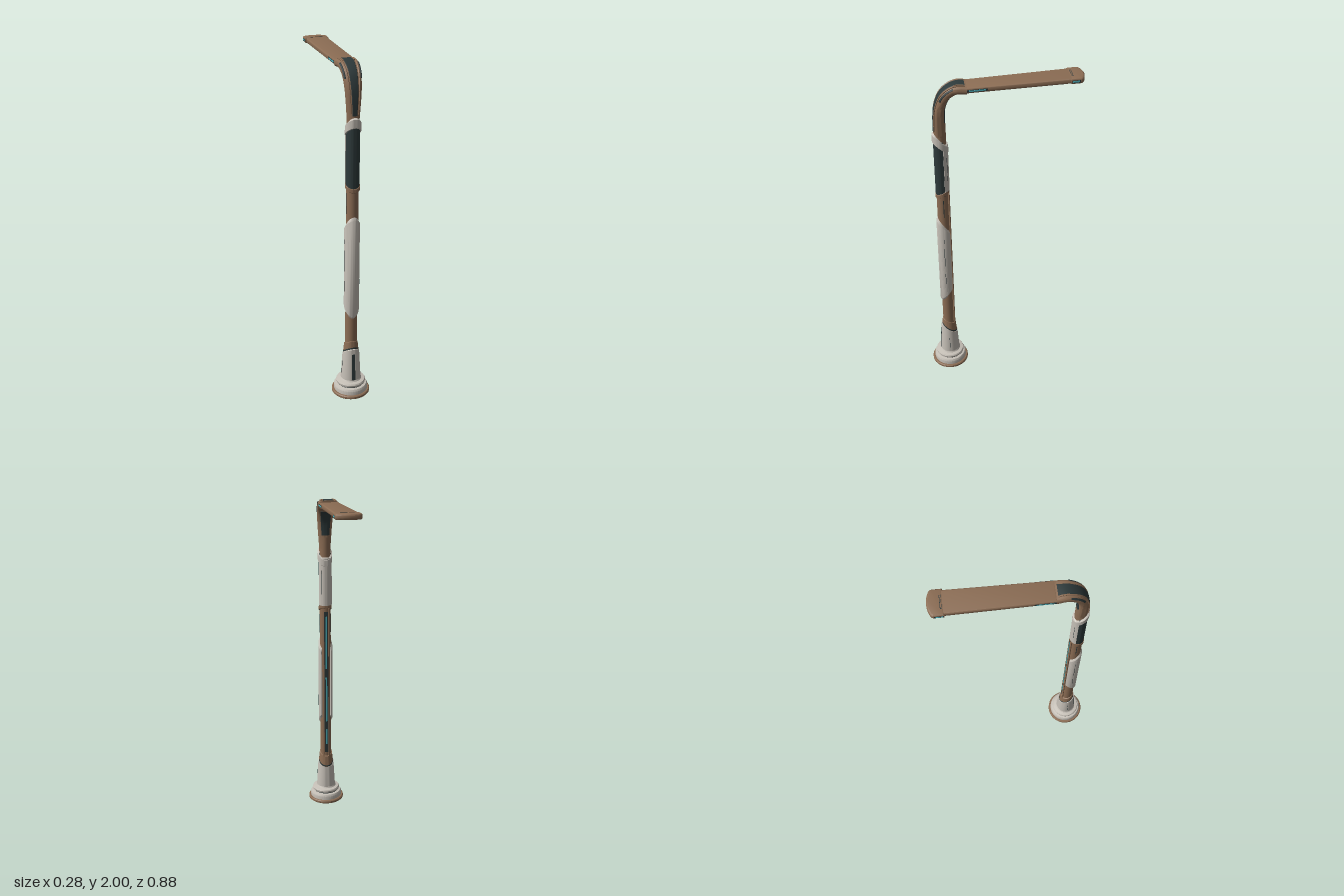
import * as THREE from 'three';
import { toCreasedNormals, mergeVertices } from 'three/addons/utils/BufferGeometryUtils.js';

const mat = (name, color) => {
  const m = new THREE.MeshStandardMaterial({ color, side: THREE.DoubleSide });
  m.name = name;
  return m;
};

// Grid surface from a rule f(i, j) -> [x, y, z]
function surface(nu, nv, f, crease = 0.6) {
  const pos = [], idx = [];
  for (let i = 0; i <= nu; i++) for (let j = 0; j <= nv; j++) pos.push(...f(i, j));
  for (let i = 0; i < nu; i++) for (let j = 0; j < nv; j++) {
    const a = i * (nv + 1) + j, b = a + nv + 1;
    idx.push(a, b, b + 1, a, b + 1, a + 1);
  }
  const g = new THREE.BufferGeometry();
  g.setAttribute('position', new THREE.Float32BufferAttribute(pos, 3));
  g.setIndex(idx);
  return toCreasedNormals(mergeVertices(g, 1e-6), crease);
}

// Curved plate round the pole; angle 0 is the front. y0, y1 and r may be functions.
const val = (v, k) => (typeof v === 'function' ? v(k) : v);
function shell(r, y0, y1, a0 = -Math.PI, a1 = Math.PI, t = 0.01, bevel = 0) {
  const n = Math.max(2, Math.ceil((a1 - a0) * 6));
  return surface(n + 2, 3, (i, j) => {
    const a = a0 + (a1 - a0) * Math.min(Math.max(i - 1, 0), n) / n;
    const lo = val(y0, a), hi = val(y1, a);
    const y = [lo, lo + bevel, hi - bevel, hi][j];
    const inner = j === 0 || j === 3 || i === 0 || i === n + 2;
    const rr = val(r, y) - (inner ? t : 0);
    return [rr * Math.sin(a), y, rr * Math.cos(a)];
  });
}

// Bend: a round section that widens and flattens along a curve
const bendCurve = new THREE.CatmullRomCurve3([[0, 1.68], [0, 1.8], [0.008, 1.86], [0.035, 1.92], [0.09, 1.957], [0.15, 1.958]]
  .map(([d, y]) => new THREE.Vector3(0, y, -d)));
const power = (v, e) => Math.sign(v) * Math.abs(v) ** e;
function bendPlate(t0, t1, a0, a1, offset) {
  const nu = Math.max(4, Math.ceil((a1 - a0) * 6)), nv = 24;
  return surface(nu, nv + 2, (i, j) => {
    const t = t0 + (t1 - t0) * Math.min(Math.max(j - 1, 0), nv) / nv;
    const p = bendCurve.getPointAt(t), d = bendCurve.getTangentAt(t);
    const a = a0 + (a1 - a0) * i / nu, e = 1 - 0.4 * t;
    const end = j === 0 || j === nv + 2;
    const full = a1 - a0 > 6;
    const o = end || (!full && (i === 0 || i === nu)) ? -0.003 : offset;
    const k = end && full ? 0 : 1;
    const x = k * (0.034 + 0.026 * t + o) * power(Math.sin(a), e);
    const h = k * (0.034 - 0.01 * t + o) * power(Math.cos(a), e);
    return [x, p.y - d.z * h, p.z + d.y * h];
  }, 0.7);
}

// Horizontal plate extruded upwards; outline in [x, distance along the arm]
function plate(shape, y, depth, bevel) {
  const g = new THREE.ExtrudeGeometry(shape, {
    depth: depth - 2 * bevel, bevelEnabled: bevel > 0, bevelSize: bevel,
    bevelThickness: bevel, bevelOffset: -bevel, bevelSegments: 3, curveSegments: 10,
  });
  return toCreasedNormals(g.rotateX(-Math.PI / 2).translate(0, y + bevel, 0), 0.6);
}
const quad = (w0, d0, w1, d1) => new THREE.Shape(
  [[-w0, d0], [w0, d0], [w1, d1], [-w1, d1]].map(([x, y]) => new THREE.Vector2(x, y)));

export function createModel() {
  const brown = mat('brown paint', 0x8c6d54);
  const white = mat('off-white panel', 0xc6c0b7);
  const dark = mat('dark inset', 0x2e3a3b);
  const grey = mat('grey lens', 0x88817a);
  const cyan = mat('cyan light', 0x4fb4be);
  const model = new THREE.Group();
  const lamp = new THREE.Group();
  lamp.name = 'streetLamp';
  lamp.position.set(-0.027, 0, 0.335);
  lamp.rotation.y = -0.13;
  model.add(lamp);
  const add = (name, geo, m, parent = lamp) => {
    const mesh = new THREE.Mesh(geo, m);
    mesh.name = name;
    parent.add(mesh);
    return mesh;
  };
  const lathe = pts => toCreasedNormals(
    new THREE.LatheGeometry(pts.map(([r, y]) => new THREE.Vector2(r, y)), 40), 0.5);
  const PI = Math.PI;

  // Stepped foot
  add('footDisc', lathe([[0, 0], [0.108, 0], [0.113, 0.005], [0.113, 0.016], [0.108, 0.021], [0, 0.021]]), brown);
  add('footStep', lathe([[0.1, 0.02], [0.1, 0.045], [0.094, 0.056], [0.078, 0.059]]), white);
  add('footGroove', lathe([[0.079, 0.055], [0.079, 0.068]]), dark);
  add('footRing', lathe([[0.076, 0.064], [0.085, 0.066], [0.087, 0.078], [0.083, 0.085], [0.064, 0.089], [0.058, 0.1]]), white);

  // Tapered sleeve with a slanted top, front slot and seams
  const taper = y => 0.06 - 0.058 * (y - 0.09);
  add('baseSleeve', shell(taper, 0.088, a => 0.275 + 0.032 * Math.cos(a), -PI, PI, 0.012, 0.006), white);
  add('baseSlot', shell(y => taper(y) + 0.0015, 0.1, 0.27, -0.18, 0.18, 0.004), dark);
  for (const a of [-1.5, 1.5])
    add('baseSeam', shell(y => taper(y) + 0.001, 0.13, 0.21, a - 0.02, a + 0.02, 0.004), dark);
  add('baseGap', shell(y => 0.0475 - 0.1 * (y - 0.26), a => 0.272 + 0.032 * Math.cos(a), a => 0.281 + 0.032 * Math.cos(a), -PI, PI, 0.008), dark);
  add('baseCollar', shell(y => 0.047 - 0.1 * (y - 0.26), 0.23, a => 0.335 + 0.02 * Math.cos(a), -PI, PI, 0.008, 0.004), brown);

  // Pole
  add('pole', new THREE.CylinderGeometry(0.034, 0.035, 1.5, 32, 1, true).translate(0, 1.0, 0), brown);

  // White lower wrap panel with slanted ends
  add('lowerPanel', shell(0.044, a => 0.5 + 0.05 * (1 - Math.cos(a)), a => 1.14 - 0.05 * (1 - Math.cos(a)), -2.35, 2.35, 0.012, 0.02), white);
  for (const s of [-1, 1]) {
    for (const [y0, y1] of [[0.66, 0.74], [0.8, 0.93], [0.97, 1.0]])
      add('panelSeam', shell(0.0448, y0, y1, s * 1.4 - 0.03, s * 1.4 + 0.03, 0.004), dark);
    add('poleSeam', shell(0.0352, 1.15, 1.27, s * 1.6 - 0.06, s * 1.6 + 0.06, 0.004), dark);
  }

  // Rear light channel
  add('rearChannel', shell(0.0375, 0.34, 1.29, PI - 0.36, PI + 0.36, 0.006), dark);
  for (const s of [-1, 1]) {
    const c = PI + s * 0.47;
    add('channelRail', shell(0.042, 0.3, 1.31, c - 0.13, c + 0.13, 0.01), brown);
  }
  for (const [y0, y1] of [[0.4, 0.5], [0.56, 0.86], [0.92, 1.26]])
    add('channelLight', shell(0.0392, y0, y1, PI - 0.12, PI + 0.12, 0.004), cyan);

  // Upper section: dark front, white back, slanted collars
  add('upperCollar', shell(0.041, a => 1.295 - 0.018 * Math.cos(a), a => 1.325 - 0.018 * Math.cos(a), -PI, PI, 0.008, 0.005), brown);
  add('frontInset', shell(0.038, 1.3, 1.65, -1.95, 1.95, 0.006), dark);
  add('backPanel', shell(0.042, 1.325, 1.63, 1.9, 2 * PI - 1.9, 0.01, 0.005), white);
  for (const a of [2.4, 2 * PI - 2.4])
    add('backPanelSeam', shell(0.0428, 1.4, 1.55, a - 0.025, a + 0.025, 0.004), dark);
  add('slantedCollar', shell(0.044, a => 1.605 + 0.035 * Math.cos(a), a => 1.66 + 0.04 * Math.cos(a), -PI, PI, 0.01, 0.007), white);

  // Bend with dark inserts on the outer and inner curve, and raised rails
  add('bend', bendPlate(0, 1, -PI, PI, 0), brown);
  add('outerInset', bendPlate(0.08, 0.97, -0.46, 0.46, 0.002), dark);
  add('innerInset', bendPlate(0.22, 0.68, PI - 0.7, PI + 0.7, 0.002), dark);
  for (const s of [-1, 1]) {
    const mid = s * 0.6, side = s * 1.08;
    add('bendRail', bendPlate(0.1, 0.97, mid - 0.14, mid + 0.14, 0.004), brown);
    add('shoulderInset', bendPlate(0.58, 0.82, side - 0.27, side + 0.27, 0.003), dark);
    add('bendCorner', bendPlate(0.84, 0.95, s * 0.39 - 0.11, s * 0.39 + 0.11, 0.004), brown);
  }

  // Lamp arm, rising gently to the tip
  const arm = new THREE.Group();
  arm.name = 'lampArm';
  arm.position.y = 1.939;
  arm.rotation.x = 0.04;
  lamp.add(arm);
  add('armBody', plate(quad(0.058, 0.146, 0.065, 0.72), 0, 0.029, 0.008), brown, arm);
  const tip = new THREE.Shape();
  tip.moveTo(-0.072, 0.695);
  tip.lineTo(0.072, 0.695);
  tip.lineTo(0.072, 0.745);
  tip.quadraticCurveTo(0.072, 0.757, 0.06, 0.764);
  tip.quadraticCurveTo(0, 0.792, -0.06, 0.764);
  tip.quadraticCurveTo(-0.072, 0.757, -0.072, 0.745);
  tip.closePath();
  add('armTip', plate(tip, -0.001, 0.031, 0.009), brown, arm);
  add('topSlot', plate(quad(0.037, 0.705, 0.037, 0.714), 0.029, 0.002, 0), dark, arm);
  add('topSlotLip', plate(quad(0.034, 0.7065, 0.034, 0.711), 0.03, 0.002, 0), brown, arm);

  // Underside lens and its frame
  add('lensFrame', plate(quad(0.049, 0.26, 0.055, 0.675), -0.002, 0.004, 0), dark, arm);
  add('lens', plate(quad(0.046, 0.266, 0.052, 0.669), -0.004, 0.004, 0), grey, arm);

  // Side lights at both ends of the arm
  for (const s of [-1, 1]) {
    for (const [x, d, len, h] of [[0.0593, 0.205, 0.11, 0.013], [0.072, 0.722, 0.046, 0.014]]) {
      const inset = add('sideInset', new THREE.BoxGeometry(0.002, h, len), dark, arm);
      inset.position.set(s * x, 0.0145, -d);
      const light = add('sideLight', new THREE.BoxGeometry(0.003, h * 0.6, len * 0.8), cyan, arm);
      light.position.set(s * (x + 0.0005), 0.0145, -d);
    }
  }
  return model;
}
